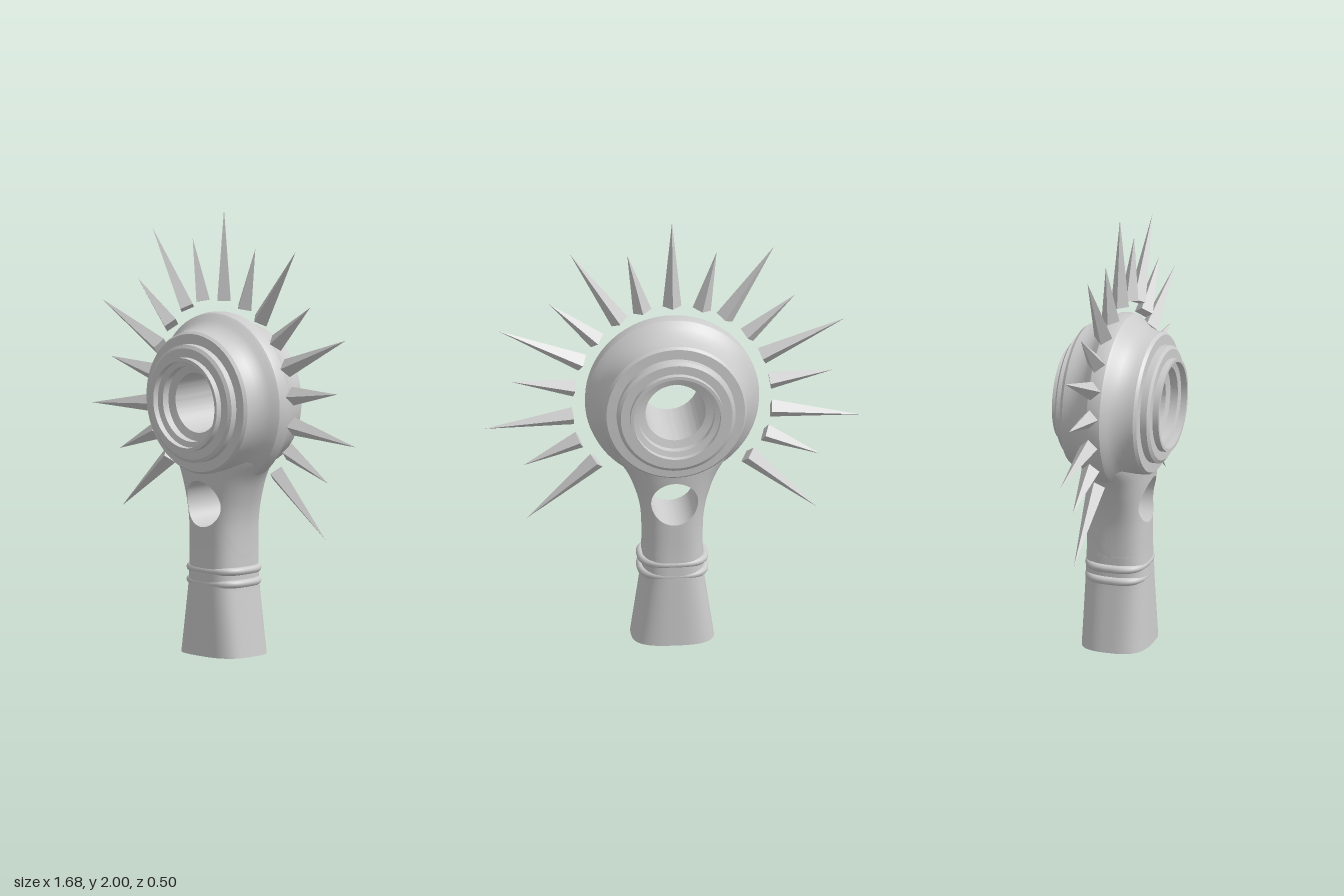
import * as THREE from 'three';
import { toCreasedNormals, mergeVertices } from 'three/addons/utils/BufferGeometryUtils.js';

const HEAD_Y = 1.145, HOLE_Y = 0.685, HOLE_R = 0.105, SPLIT_Y = 0.44;

// Smooth interpolation through [y, halfWidth, halfDepth, cornerExponent] rows.
const SECTIONS = [
  [0, 0.185, 0.155, 0.68], [0.3, 0.14, 0.145, 0.68], [0.44, 0.135, 0.14, 0.68], [0.55, 0.136, 0.14, 0.7],
  [0.62, 0.143, 0.141, 0.72], [0.7, 0.163, 0.146, 0.78], [0.8, 0.205, 0.158, 0.9],
  [0.9, 0.278, 0.168, 1.1], [1.0, 0.335, 0.165, 1.35],
];
function sectionAt(y) {
  let i = 0;
  while (i < SECTIONS.length - 2 && y > SECTIONS[i + 1][0]) i++;
  const a = SECTIONS[i], b = SECTIONS[i + 1], h = b[0] - a[0], t = (y - a[0]) / h;
  const slope = (k, c) => {
    const p = SECTIONS[Math.max(k - 1, 0)], n = SECTIONS[Math.min(k + 1, SECTIONS.length - 1)];
    return (n[c] - p[c]) / (n[0] - p[0]);
  };
  return [1, 2, 3].map((c) => {
    if (i === 0) return a[c] + (b[c] - a[c]) * t; // straight tapered foot
    const t2 = t * t, t3 = t2 * t;
    return (2 * t3 - 3 * t2 + 1) * a[c] + (t3 - 2 * t2 + t) * h * slope(i, c)
      + (3 * t2 - 2 * t3) * b[c] + (t3 - t2) * h * slope(i + 1, c);
  });
}
const spow = (v, e) => Math.sign(v) * Math.pow(Math.abs(v), e);

// Point on the rounded cross-section; angle 0 faces +z.
function surfacePoint(angle, y) {
  const [w, d, e] = sectionAt(y);
  return [w * spow(Math.sin(angle), e), y, d * spow(Math.cos(angle), e)];
}

// Mesh geometry from a rows x cols grid of points.
function gridGeometry(rows, cols, point, flip = false) {
  const pos = [], idx = [];
  for (let r = 0; r <= rows; r++) for (let c = 0; c <= cols; c++) pos.push(...point(r, c));
  for (let r = 0; r < rows; r++) {
    for (let c = 0; c < cols; c++) {
      const a = r * (cols + 1) + c, b = a + 1, d = a + cols + 1, e = d + 1;
      idx.push(...(flip ? [a, d, b, b, d, e] : [a, b, d, b, e, d]));
    }
  }
  let g = new THREE.BufferGeometry();
  g.setAttribute('position', new THREE.Float32BufferAttribute(pos, 3));
  g.setIndex(idx);
  g = mergeVertices(g, 1e-5);
  g.computeVertexNormals();
  return g;
}

export function createModel() {
  const group = new THREE.Group();
  const grey = new THREE.MeshStandardMaterial({ color: 0xcccccc });
  const thin = new THREE.MeshStandardMaterial({ color: 0xcccccc, side: THREE.DoubleSide });
  const add = (name, geometry, material = grey) => {
    const mesh = new THREE.Mesh(geometry, material);
    mesh.name = name;
    group.add(mesh);
    return mesh;
  };

  // Ring head: a stepped profile turned around the z axis
  const half = [
    [0.135, 0.17], [0.17, 0.18], [0.17, 0.215], [0.195, 0.222], [0.195, 0.25], [0.21, 0.25],
    [0.21, 0.222], [0.25, 0.222], [0.265, 0.212], [0.265, 0.182], [0.31, 0.18], [0.32, 0.166],
    [0.322, 0.14], [0.328, 0.115], [0.34, 0.085], [0.358, 0.06], [0.376, 0.043], [0.386, 0.03],
  ];
  const profile = [
    ...half.map(([r, z]) => new THREE.Vector2(r, -z)), new THREE.Vector2(0.39, 0),
    ...half.slice().reverse().map(([r, z]) => new THREE.Vector2(r, z)),
    new THREE.Vector2(0.135, -0.17),
  ];
  const head = toCreasedNormals(new THREE.LatheGeometry(profile, 96), 0.5);
  head.rotateX(Math.PI / 2);
  add('ringHead', head).position.y = HEAD_Y;

  // Handle foot: tapered rounded section with a flat bottom
  const around = 96;
  const sweep = (c) => (c % around) / around * Math.PI * 2;
  add('handle', gridGeometry(24, around, (r, c) => surfacePoint(sweep(c), SPLIT_Y * r / 24)));
  const base = new THREE.Shape(Array.from({ length: around }, (_, c) => {
    const p = surfacePoint(sweep(c), 0);
    return new THREE.Vector2(p[0], p[2]);
  }));
  add('handleBottom', new THREE.ShapeGeometry(base).rotateX(Math.PI / 2), thin);

  // Flared neck: front and back skins spread from the round hole to the sides
  const steps = 96, rings = 20, topY = 1.0;
  function neckPoint(r, c, side) {
    const a = (c % steps) / steps * Math.PI * 2, cs = Math.cos(a), sn = Math.sin(a);
    const hx = HOLE_R * cs, hy = HOLE_Y + HOLE_R * sn, [w, , e] = sectionAt(hy);
    const inner = Math.asin(spow(hx / w, 1 / e));
    const m = Math.max(Math.abs(cs), Math.abs(sn));
    const outer = cs / m * Math.PI / 2;
    const oy = HOLE_Y + (sn / m) * (sn > 0 ? topY - HOLE_Y : HOLE_Y - SPLIT_Y);
    const t = r / rings;
    const p = surfacePoint(inner + (outer - inner) * t, hy + (oy - hy) * t);
    return [p[0], p[1], p[2] * side];
  }
  for (const side of [1, -1]) {
    add(side > 0 ? 'neckFront' : 'neckBack',
      gridGeometry(rings, steps, (r, c) => neckPoint(r, c, side), side > 0), thin);
  }
  add('neckHole', gridGeometry(1, steps, (r, c) => neckPoint(0, c, r ? -1 : 1)), thin);

  // Two collar bands following the handle section
  for (const y of [0.385, 0.328]) {
    const path = new THREE.CatmullRomCurve3(Array.from({ length: 48 }, (_, i) => {
      const a = i / 48 * Math.PI * 2;
      return new THREE.Vector3(0.142 * spow(Math.sin(a), 0.7), y, 0.127 * spow(Math.cos(a), 0.7));
    }), true);
    add('collarBand', new THREE.TubeGeometry(path, 128, 0.018, 12, true));
  }

  // Spikes floating around the head: [base x, base y, tip x, tip y], mirrored
  const spikes = [
    [0, 1.59, 0, 2.0], [0.133, 1.57, 0.2, 1.845], [0.235, 1.525, 0.457, 1.862],
    [0.335, 1.435, 0.55, 1.622], [0.402, 1.33, 0.777, 1.5], [0.437, 1.208, 0.722, 1.25],
    [0.443, 1.073, 0.842, 1.025], [0.415, 0.955, 0.665, 0.84], [0.338, 0.85, 0.648, 0.583],
  ];
  const up = new THREE.Vector3(0, 1, 0);
  for (const [bx, by, tx, ty] of spikes) {
    for (const side of bx === 0 ? [1] : [1, -1]) {
      const dir = new THREE.Vector3((tx - bx) * side, ty - by, 0), length = dir.length();
      const cone = new THREE.ConeGeometry(0.042, length, 4).toNonIndexed();
      cone.translate(0, length / 2, 0);
      cone.computeVertexNormals();
      const spike = add('spike', cone);
      spike.quaternion.setFromUnitVectors(up, dir.normalize());
      spike.position.set(bx * side, by, 0);
    }
  }
  return group;
}
